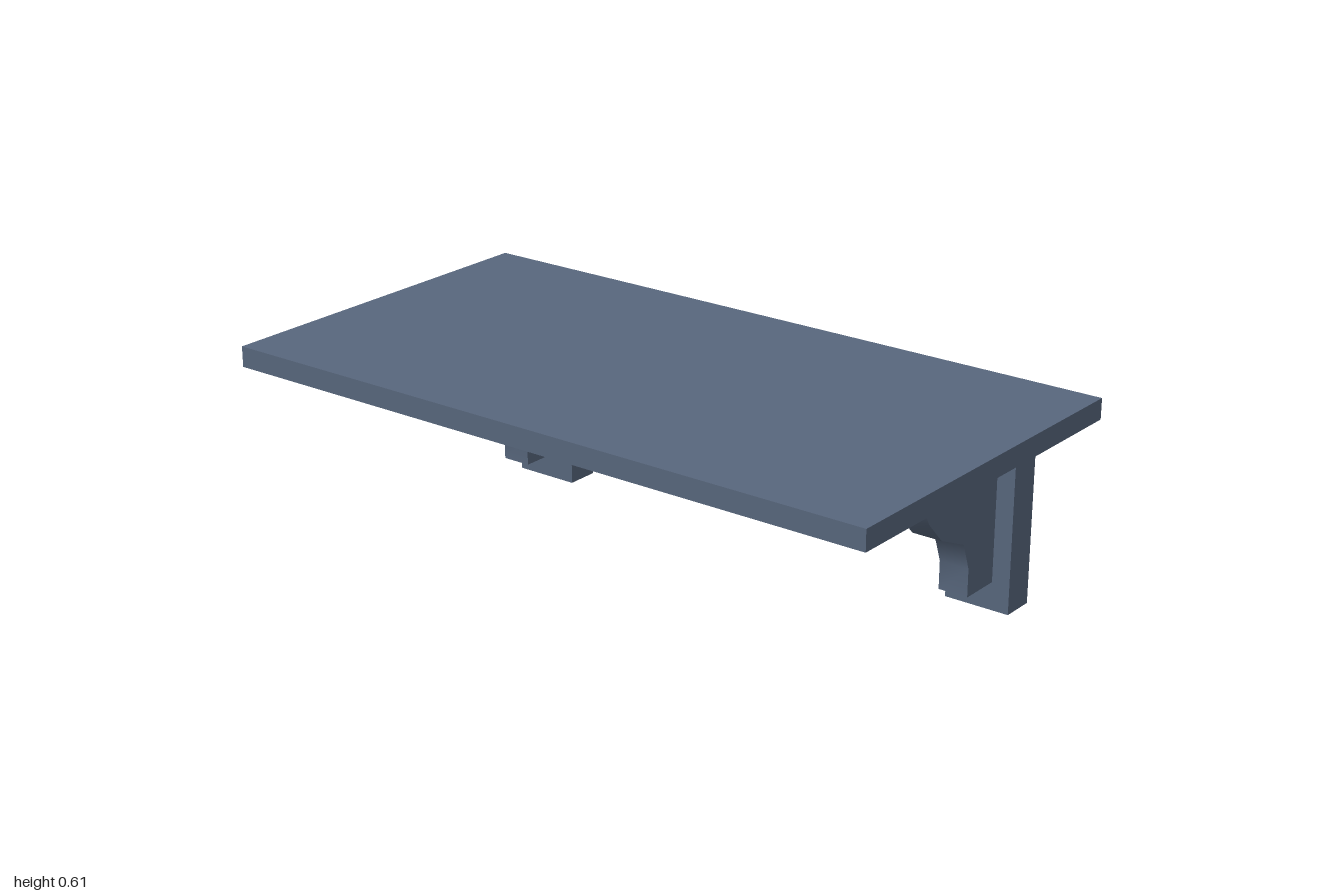
import * as THREE from 'three';
import { toCreasedNormals } from 'three/addons/utils/BufferGeometryUtils.js';

const shapeOf = (points) => new THREE.Shape(points.map(([x, y]) => new THREE.Vector2(x, y)));

export function createModel() {
  const group = new THREE.Group();
  const slate = new THREE.MeshStandardMaterial({ color: 0x58677d });
  slate.name = 'slate blue';

  const add = (name, geometry) => {
    const mesh = new THREE.Mesh(geometry, slate);
    mesh.name = name;
    group.add(mesh);
    return mesh;
  };

  // Flat slab on top
  const topY = 0.605, underside = 0.547;
  add('tabletop', new THREE.BoxGeometry(2, topY - underside, 1.064))
    .position.y = (topY + underside) / 2;

  // Two legs and their crossbeam, cut as one upside-down U at the back
  const frame = shapeOf([
    [-0.84, 0], [-0.646, 0], [-0.646, 0.45], [0.643, 0.45],
    [0.643, 0], [0.836, 0], [0.836, underside], [-0.84, underside],
  ]);
  add('backFrame', new THREE.ExtrudeGeometry(frame, { depth: 0.097, bevelEnabled: false }))
    .position.z = -0.501;

  // Curved brackets in front of the legs; profile is (z, y)
  const width = 0.087;
  const profile = shapeOf([
    [-0.404, underside], [-0.404, 0.08], [-0.282, 0.08], [-0.282, 0.16],
    [-0.253, 0.238], [-0.144, 0.286], [-0.083, 0.35], [-0.037, 0.427], [-0.011, underside],
  ]);
  const bracket = toCreasedNormals(
    new THREE.ExtrudeGeometry(profile, { depth: width, bevelEnabled: false })
      .translate(0, 0, -width / 2)
      .rotateY(-Math.PI / 2),
    1.0,
  );
  add('leftBracket', bracket).position.x = 0.74;
  add('rightBracket', bracket).position.x = -0.753;

  return group;
}
